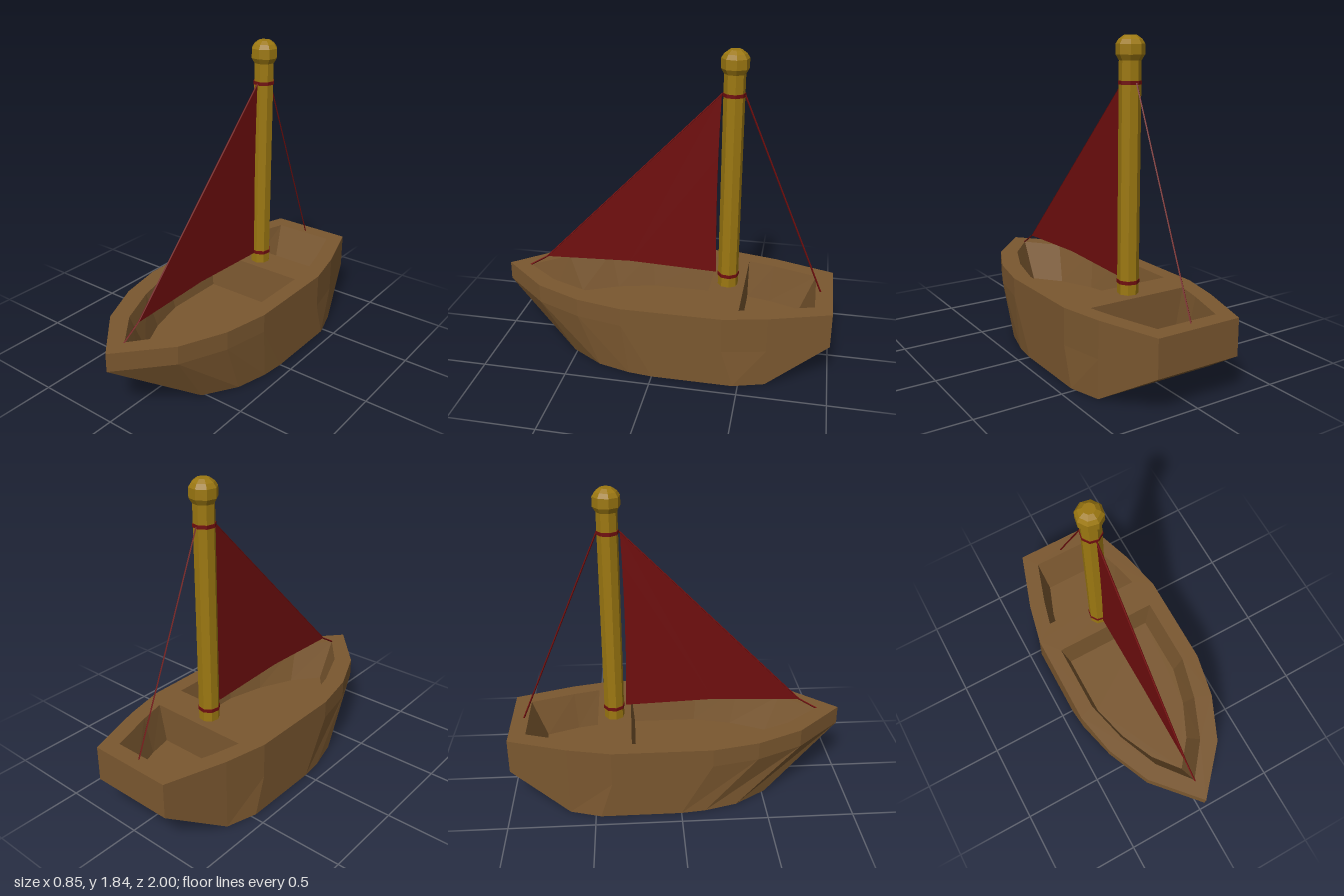
import * as THREE from 'three';

const mat = (name, color, extra = {}) =>
  Object.assign(new THREE.MeshStandardMaterial({ color, flatShading: true, ...extra }), { name });

// Mirrors a half outline of [x, z], listed bow to stern, into a closed loop
const mirror = (half) => [...half, ...half.filter(([x]) => x > 0).reverse().map(([x, z]) => [-x, z])];
const ring = (half, y) => {
  const lift = half.map(([x, z], i) => [x, Array.isArray(y) ? y[i] : y, z]);
  return [...lift, ...lift.slice().reverse().map(([x, h, z]) => [-x, h, z])];
};

// Walls between two loops; they face outward when a is the lower loop
function loft(a, b) {
  const pos = [];
  for (let i = 0; i < a.length; i++) {
    const j = (i + 1) % a.length;
    for (const p of [a[i], a[j], b[j], a[i], b[j], b[i]]) pos.push(...p);
  }
  const g = new THREE.BufferGeometry();
  g.setAttribute('position', new THREE.Float32BufferAttribute(pos, 3));
  g.computeVertexNormals();
  return g;
}

// Flat horizontal face with optional holes, facing up or down
function plate(half, y, holes = [], up = true) {
  const s = up ? -1 : 1;
  const pts = (h) => mirror(h).map(([x, z]) => new THREE.Vector2(x, s * z));
  const shape = new THREE.Shape(pts(half));
  shape.holes = holes.map((h) => new THREE.Path(pts(h)));
  return new THREE.ShapeGeometry(shape).rotateX(s * Math.PI / 2).translate(0, y, 0);
}

export function createModel() {
  const boat = new THREE.Group();
  boat.name = 'sailboat';
  const wood = mat('hull brown', 0x7a572f);
  const gold = mat('mast gold', 0x9c7811);
  const red = mat('sail red', 0x700e0e, { side: THREE.DoubleSide });
  const add = (name, geo, material, parent = boat) => {
    const m = new THREE.Mesh(geo, material);
    m.name = name;
    parent.add(m);
    return m;
  };

  // Hull: upright upper band above a tapering underside
  const deckY = 0.43, floorY = 0.2;
  const deck = [[0, 1], [0.25, 0.72], [0.37, 0.45], [0.425, 0.18], [0.425, -0.4], [0.37, -0.65], [0.255, -1]];
  const rim = [deck[0], ...deck];
  const keel = [[0, 0.52], [0.24, 0.52], [0.36, 0.33], [0.41, 0.14], [0.425, 0], [0.425, -0.47], [0.37, -0.65], [0.37, -0.65]];
  const chine = ring(rim, [0.32, 0.32, 0.32, 0.32, 0.32, 0.22, 0.22, 0.22]);
  const hull = new THREE.Group();
  hull.name = 'hull';
  boat.add(hull);
  add('hullSides', loft(chine, ring(rim, deckY)), wood, hull);
  add('hullUnderside', loft(ring(keel, 0), chine), wood, hull);
  add('hullBottom', plate(keel.slice(0, 7), 0, [], false), wood, hull);

  // Sunken wells: opening in the deck and the smaller floor below
  const wells = {
    cockpit: [
      [[0, 0.86], [0.16, 0.66], [0.265, 0.41], [0.33, 0.15], [0.33, -0.28]],
      [[0, 0.735], [0.13, 0.575], [0.23, 0.36], [0.29, 0.13], [0.29, -0.257]],
    ],
    sternWell: [
      [[0.31, -0.48], [0.27, -0.64], [0.187, -0.9]],
      [[0.265, -0.48], [0.235, -0.62], [0.165, -0.81]],
    ],
  };
  for (const [name, [top, floor]] of Object.entries(wells)) {
    add(name + 'Walls', loft(ring(top, deckY), ring(floor, floorY)), wood, hull);
    add(name + 'Floor', plate(floor, floorY), wood, hull);
  }
  add('deck', plate(deck, deckY, Object.values(wells).map((w) => w[0])), wood, hull);

  // Mast with a faceted knob
  const mastZ = -0.38;
  const profile = [[0.06, 0.42], [0.06, 1.705], [0.078, 1.735], [0.078, 1.79], [0.062, 1.815], [0.035, 1.835], [0, 1.835]];
  const mast = add('mast', new THREE.LatheGeometry(profile.map((p) => new THREE.Vector2(...p)), 8), gold);
  mast.position.z = mastZ;
  mast.rotation.y = 0.2;

  // Lashings around the mast
  for (const y of [0.5, 1.59]) {
    const band = add('mastBand', new THREE.CylinderGeometry(0.064, 0.064, 0.02, 8), red);
    band.position.set(0, y, mastZ);
    band.rotation.y = 0.2;
  }

  // Sail, drawn as (z, y) and turned into the centre plane
  const outline = new THREE.Shape();
  outline.moveTo(-0.312, 1.59);
  outline.quadraticCurveTo(-0.29, 1.05, -0.308, 0.5);
  outline.lineTo(0.22, 0.52);
  outline.lineTo(0.75, 0.5);
  const sail = add('sail', new THREE.ExtrudeGeometry(outline, { depth: 0.006, bevelEnabled: false, curveSegments: 6 }), red);
  sail.rotation.y = -Math.PI / 2;
  sail.position.x = 0.003;

  // Rigging ropes, as runs of (y, z) points
  const rope = (name, ...pts) => {
    const path = new THREE.CurvePath();
    const v = pts.map(([y, z]) => new THREE.Vector3(0, y, z));
    for (let i = 1; i < v.length; i++) path.add(new THREE.LineCurve3(v[i - 1], v[i]));
    add(name, new THREE.TubeGeometry(path, 8, 0.005, 4), red);
  };
  rope('backstay', [1.59, -0.44], [0.425, -0.93]);
  rope('sailEdgeRope', [1.59, -0.315], [0.5, 0.75]);
  rope('bowRope', [0.5, 0.75], [0.425, 0.87]);

  return boat;
}
